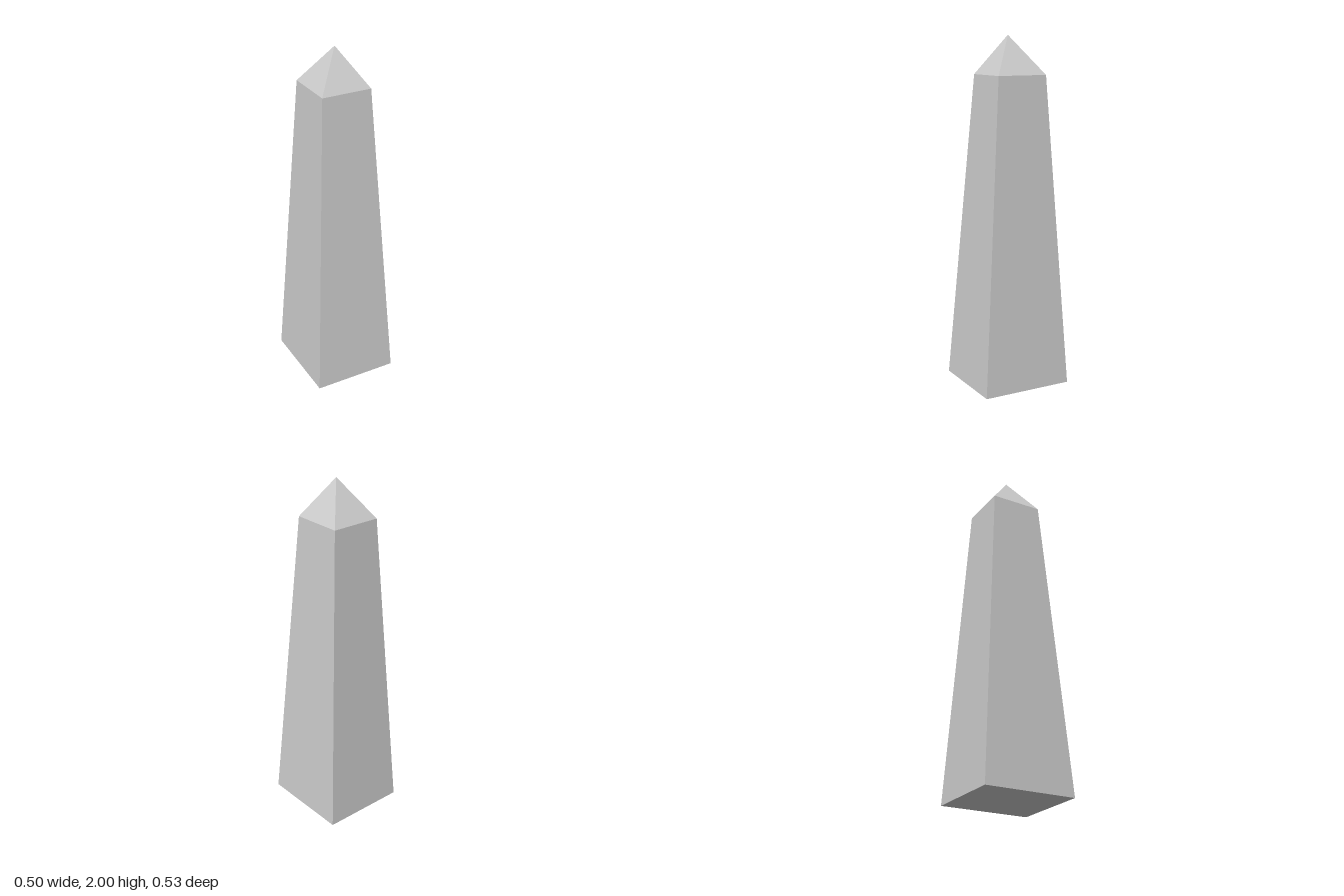
import * as THREE from 'three';

const material = new THREE.MeshStandardMaterial({ color: 0xcccccc, flatShading: true });

// Rectangular cross-sections: height, half width, half depth, depth offset
const base = { y: 0, w: 0.248, d: 0.266, z: 0 };
const shoulder = { y: 1.782, w: 0.146, d: 0.149, z: -0.017 };
const apex = { y: 2, w: 0, d: 0, z: -0.005 };

// Four-sided tapered section running between two cross-sections, open at the ends
function taper(name, bottom, top) {
  const geometry = new THREE.CylinderGeometry(top.w > 0 ? 1 : 0, 1, 2, 4, 1, true);
  geometry.rotateY(Math.PI / 4);
  const p = geometry.attributes.position;
  for (let i = 0; i < p.count; i++) {
    const ring = p.getY(i) > 0 ? top : bottom;
    p.setXYZ(i, Math.sign(p.getX(i)) * ring.w, ring.y, Math.sign(p.getZ(i)) * ring.d + ring.z);
  }
  geometry.computeVertexNormals();
  const mesh = new THREE.Mesh(geometry, material);
  mesh.name = name;
  return mesh;
}

export function createModel() {
  const group = new THREE.Group();
  group.name = 'obelisk';

  // Tapering shaft and pointed cap
  group.add(taper('shaft', base, shoulder), taper('pyramidCap', shoulder, apex));

  // Underside, facing down
  const underside = new THREE.Mesh(new THREE.PlaneGeometry(base.w * 2, base.d * 2), material);
  underside.rotation.x = Math.PI / 2;
  underside.name = 'underside';
  group.add(underside);

  return group;
}
